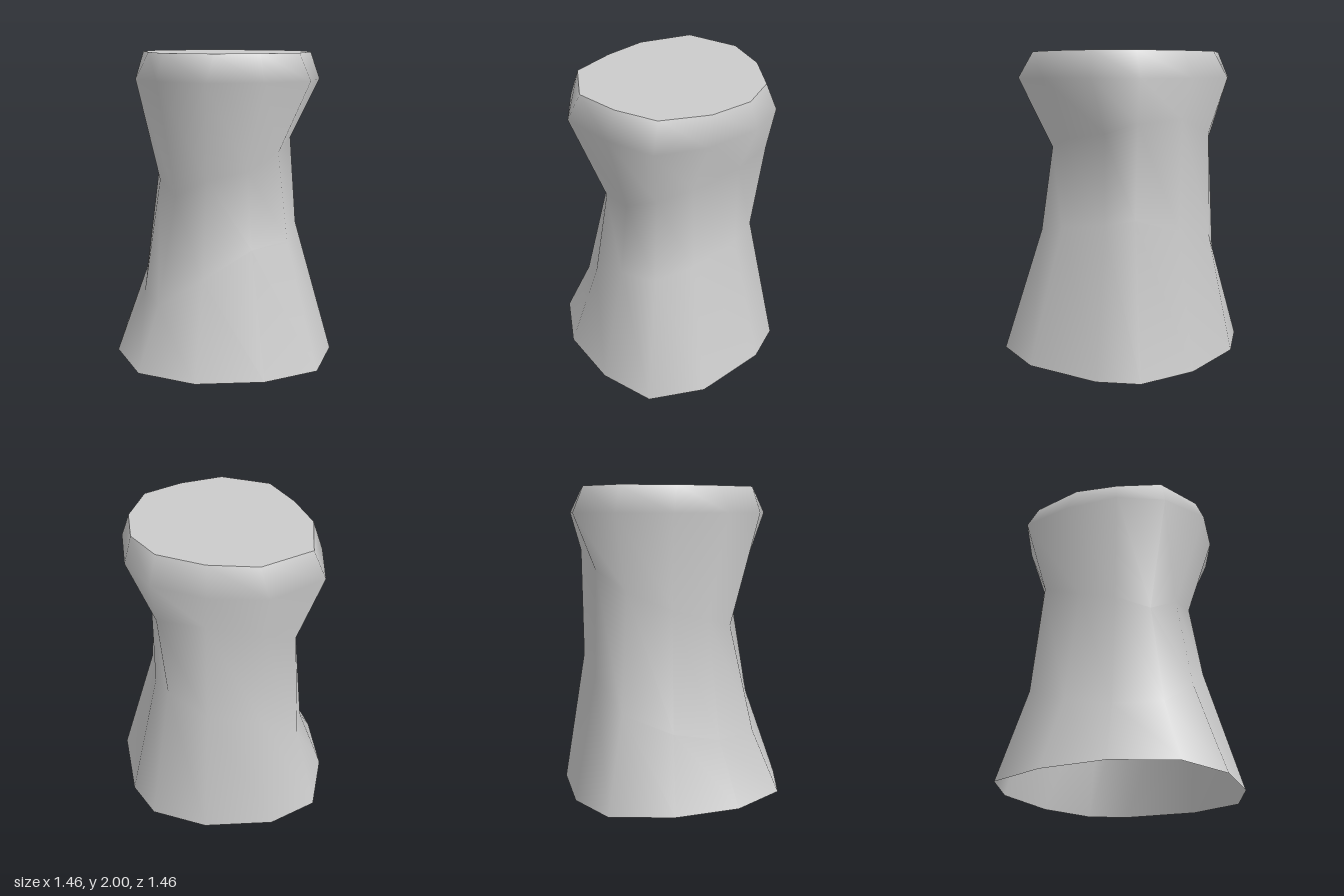
import * as THREE from 'three';

// Twelve-sided outlines as [x, z], running from the back round by +x.
const base = [[-0.22, -0.73], [0.24, -0.68], [0.58, -0.5], [0.7, -0.25], [0.725, 0.25], [0.57, 0.6],
  [0.215, 0.73], [-0.22, 0.73], [-0.575, 0.56], [-0.73, 0.19], [-0.705, -0.23], [-0.55, -0.61]];
const lip = [[-0.145, -0.69], [0.195, -0.62], [0.49, -0.435], [0.615, -0.17], [0.61, 0.19], [0.5, 0.485],
  [0.21, 0.6], [-0.14, 0.65], [-0.425, 0.465], [-0.565, 0.175], [-0.58, -0.19], [-0.505, -0.53]];
const rim = [[-0.105, -0.61], [0.185, -0.54], [0.445, -0.38], [0.565, -0.145], [0.56, 0.13], [0.44, 0.41],
  [0.19, 0.53], [-0.09, 0.585], [-0.385, 0.425], [-0.48, 0.14], [-0.525, -0.145], [-0.435, -0.485]];

// Tilted waist rings: [share of the base outline, height] per column.
const lowerWaist = [[0.78, 0.8], [0.8, 0.88], [0.72, 0.97], [0.69, 0.93], [0.66, 0.88], [0.68, 0.82],
  [0.7, 0.79], [0.72, 0.6], [0.77, 0.4], [0.74, 0.4], [0.76, 0.47], [0.78, 0.6]];
const upperWaist = [[0.76, 1.48], [0.81, 1.59], [0.8, 1.57], [0.68, 1.5], [0.6, 1.45], [0.58, 1.38],
  [0.6, 1.28], [0.58, 1.22], [0.56, 1.1], [0.58, 1.17], [0.61, 1.24], [0.7, 1.36]];

const level = (outline, y) => outline.map(([x, z]) => [x, y, z]);
const waist = (ring) => ring.map(([s, y], i) => [base[i][0] * s, y, base[i][1] * s]);

function build(points, index) {
  const geometry = new THREE.BufferGeometry();
  geometry.setAttribute('position', new THREE.Float32BufferAttribute(points.flat(), 3));
  geometry.setIndex(index);
  geometry.computeVertexNormals();
  return geometry;
}

// Smooth skin through stacked rings
function loft(rings) {
  const n = rings[0].length, index = [];
  for (let r = 0; r < rings.length - 1; r++) {
    for (let i = 0; i < n; i++) {
      const a = r * n + i, b = r * n + (i + 1) % n;
      index.push(b, a, b + n, a, a + n, b + n);
    }
  }
  return build(rings.flat(), index);
}

// Flat fan facing up
function cap(ring) {
  const n = ring.length, index = [];
  for (let i = 0; i < n; i++) index.push(n, (i + 1) % n, i);
  return build([...ring, [0, ring[0][1], 0]], index);
}

export function createModel() {
  const group = new THREE.Group();
  group.name = 'stump';
  const material = new THREE.MeshStandardMaterial({ color: 0xcccccc, side: THREE.DoubleSide });
  const top = level(rim, 2);

  // Flared trunk, open underneath
  const trunk = new THREE.Mesh(
    loft([level(base, 0), waist(lowerWaist), waist(upperWaist), level(lip, 1.835), top]), material);
  trunk.name = 'trunk';

  // Flat top
  const topFace = new THREE.Mesh(cap(top), material);
  topFace.name = 'topFace';

  group.add(trunk, topFace);
  return group;
}
